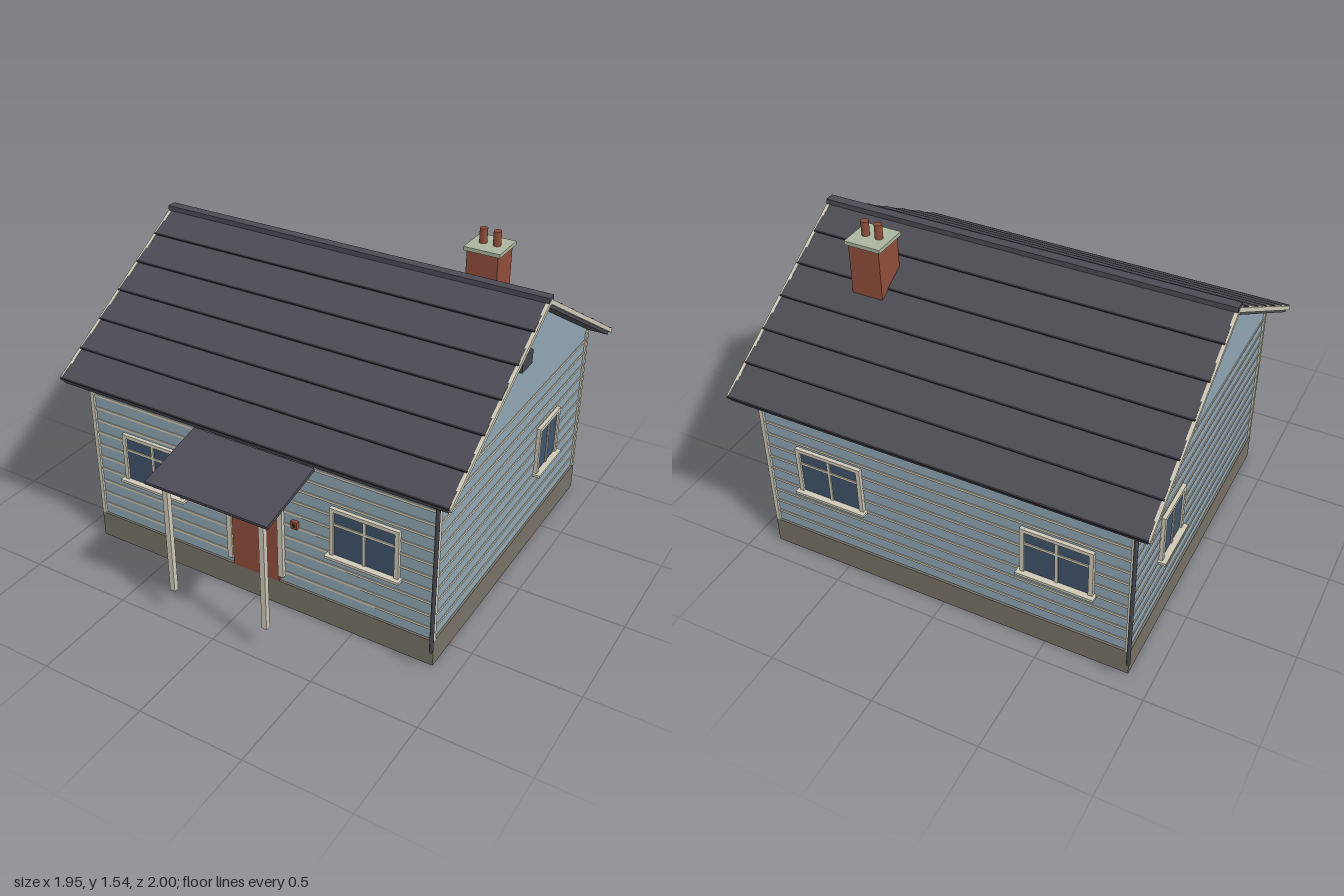
import * as THREE from 'three';

const mat = (name, color) => {
  const m = new THREE.MeshStandardMaterial({ color });
  m.name = name;
  return m;
};

export function createModel() {
  const root = new THREE.Group();
  root.name = 'cottage';
  const M = {
    wall: mat('blue siding', 0x8fa5b3),
    cream: mat('cream trim', 0xcdc8b6),
    stone: mat('foundation stone', 0x767166),
    roof: mat('slate roof', 0x4c4b53),
    dark: mat('dark edge', 0x2b2b30),
    pipe: mat('pipe grey', 0x45464f),
    brick: mat('terracotta', 0x8f4d3a),
    sage: mat('sage cap', 0xa9b49d),
    glass: mat('window glass', 0x40526b),
  };
  const C = -0.123;            // depth of the ridge line
  const HX = 0.88, HZ = 0.767; // half width and half depth of the walls

  const box = (parent, name, m, w, h, d, x, y, z) => {
    const mesh = new THREE.Mesh(new THREE.BoxGeometry(w, h, d), m);
    mesh.name = name;
    mesh.position.set(x, y, z);
    parent.add(mesh);
    return mesh;
  };
  const group = (parent, name, x, y, z, ry = 0) => {
    const g = new THREE.Group();
    g.name = name;
    g.position.set(x, y, z);
    g.rotation.y = ry;
    parent.add(g);
    return g;
  };

  // Foundation
  box(root, 'foundation', M.stone, 1.78, 0.132, 1.555, 0, 0.066, C);

  // Walls with both gables
  const s = new THREE.Shape();
  s.moveTo(-HZ, 0.13);
  s.lineTo(HZ, 0.13);
  s.lineTo(HZ, 0.91);
  s.lineTo(0, 1.372);
  s.lineTo(-HZ, 0.91);
  const wallGeo = new THREE.ExtrudeGeometry(s, { depth: HX * 2, bevelEnabled: false });
  wallGeo.rotateY(-Math.PI / 2).translate(HX, 0, C);
  const walls = new THREE.Mesh(wallGeo, M.wall);
  walls.name = 'walls';
  root.add(walls);

  // Siding battens running round the house
  for (let i = 0; i < 11; i++)
    box(root, 'sidingBatten', M.cream, HX * 2 + 0.008, 0.012, HZ * 2 + 0.008, 0, 0.188 + i * 0.0662, C);

  // Corner boards
  for (const sx of [-1, 1]) for (const sz of [-1, 1])
    box(root, 'cornerBoard', M.cream, 0.02, 0.765, 0.02, sx * 0.88, 0.515, C + sz * 0.768);

  // Roof slopes with lapped courses and rake boards
  const angle = Math.atan(0.6), L = 0.868 / Math.cos(angle), rows = 6;
  for (const ry of [0, Math.PI]) {
    const side = group(root, 'roofSide', 0, 1.408, C, ry);
    const slope = group(side, 'roofSlope', 0, 0, 0);
    slope.rotation.x = angle;
    box(slope, 'roofSlab', M.roof, 1.92, 0.03, L, 0, -0.015, L / 2);
    for (let i = 0; i < rows; i++) {
      const step = L / rows;
      const row = box(slope, 'roofCourse', M.roof, 1.93, 0.01, step, 0, -0.001, (i + 0.5) * step);
      row.rotation.x = -0.04;
      box(slope, 'courseEdge', M.dark, 1.935, 0.012, 0.008, 0, 0.002, (i + 1) * step - 0.003);
    }
    for (const sx of [-1, 1])
      box(slope, 'rakeBoard', M.cream, 0.016, 0.02, L, sx * 0.966, -0.006, L / 2);
  }
  box(root, 'ridgeCap', M.roof, 1.945, 0.024, 0.046, 0, 1.412, C);

  // Chimney
  const chimney = group(root, 'chimney', 0.57, 0, -0.387);
  box(chimney, 'chimneyStack', M.brick, 0.15, 0.33, 0.15, 0, 1.285, 0);
  box(chimney, 'chimneyCap', M.sage, 0.174, 0.018, 0.172, 0, 1.459, 0);
  for (const x of [-0.033, 0.033]) {
    const pot = new THREE.Mesh(new THREE.CylinderGeometry(0.018, 0.018, 0.072, 16), M.brick);
    pot.name = 'chimneyPot';
    pot.position.set(x, 1.5, 0);
    chimney.add(pot);
  }

  // Windows: glass, casing, mullion, optional transom and sill
  const addWindow = (x, z, ry, half, transom) => {
    const w = group(root, 'window', x, 0, z, ry);
    box(w, 'windowGlass', M.glass, half * 2, 0.23, 0.009, 0, 0.502, 0.0045);
    for (const sx of [-1, 1])
      box(w, 'windowCasing', M.cream, 0.02, 0.245, 0.018, sx * (half + 0.01), 0.51, 0.009);
    box(w, 'windowHead', M.cream, half * 2 + 0.04, 0.018, 0.018, 0, 0.623, 0.009);
    box(w, 'windowMullion', M.cream, 0.014, 0.23, 0.014, 0, 0.502, 0.007);
    if (transom) box(w, 'windowTransom', M.cream, half * 2, 0.013, 0.014, 0, 0.55, 0.007);
    box(w, 'windowSill', M.cream, half * 2 + 0.065, 0.013, 0.038, 0, 0.386, 0.019);
  };
  for (const x of [-0.55, 0.55]) {
    addWindow(x, C + HZ, 0, 0.146, true);
    addWindow(x, C - HZ, Math.PI, 0.146, true);
  }
  for (const sx of [-1, 1]) {
    addWindow(sx * HX, -0.475, sx * Math.PI / 2, 0.1, false);
    // Gable vent
    box(root, 'gableVent', M.pipe, 0.016, 0.068, 0.108, sx * (HX + 0.006), 1.1, C);
  }

  // Front door
  const door = group(root, 'door', 0, 0, C + HZ);
  box(door, 'doorLeaf', M.brick, 0.245, 0.49, 0.012, 0, 0.376, 0.006);
  for (const sx of [-1, 1])
    box(door, 'doorJamb', M.cream, 0.026, 0.475, 0.02, sx * 0.135, 0.403, 0.01);
  box(door, 'doorHead', M.cream, 0.312, 0.026, 0.022, 0, 0.633, 0.011);
  box(door, 'wallBox', M.brick, 0.032, 0.036, 0.018, 0.207, 0.472, 0.009);
  box(door, 'wallBoxFace', M.dark, 0.012, 0.016, 0.004, 0.207, 0.472, 0.019);

  // Porch canopy on two posts
  const porch = group(root, 'porch', 0, 0, 0);
  const canopy = box(porch, 'porchCanopy', M.roof, 0.612, 0.016, 0.36, 0, 0.748, 0.823);
  canopy.rotation.x = Math.atan2(0.077, 0.35);
  for (const sx of [-1, 1]) {
    box(porch, 'porchPost', M.cream, 0.025, 0.565, 0.025, sx * 0.242, 0.415, 0.942);
    box(porch, 'postCapital', M.cream, 0.036, 0.014, 0.025, sx * 0.242, 0.67, 0.942);
  }
  box(porch, 'porchBeam', M.cream, 0.52, 0.022, 0.025, 0, 0.688, 0.942);

  // Downpipes at two opposite corners
  for (const [x, z] of [[0.908, 0.713], [-0.908, -0.956]]) {
    const p = new THREE.Mesh(new THREE.CylinderGeometry(0.009, 0.009, 0.755, 12), M.pipe);
    p.name = 'downpipe';
    p.position.set(x, 0.508, z);
    root.add(p);
  }
  return root;
}
